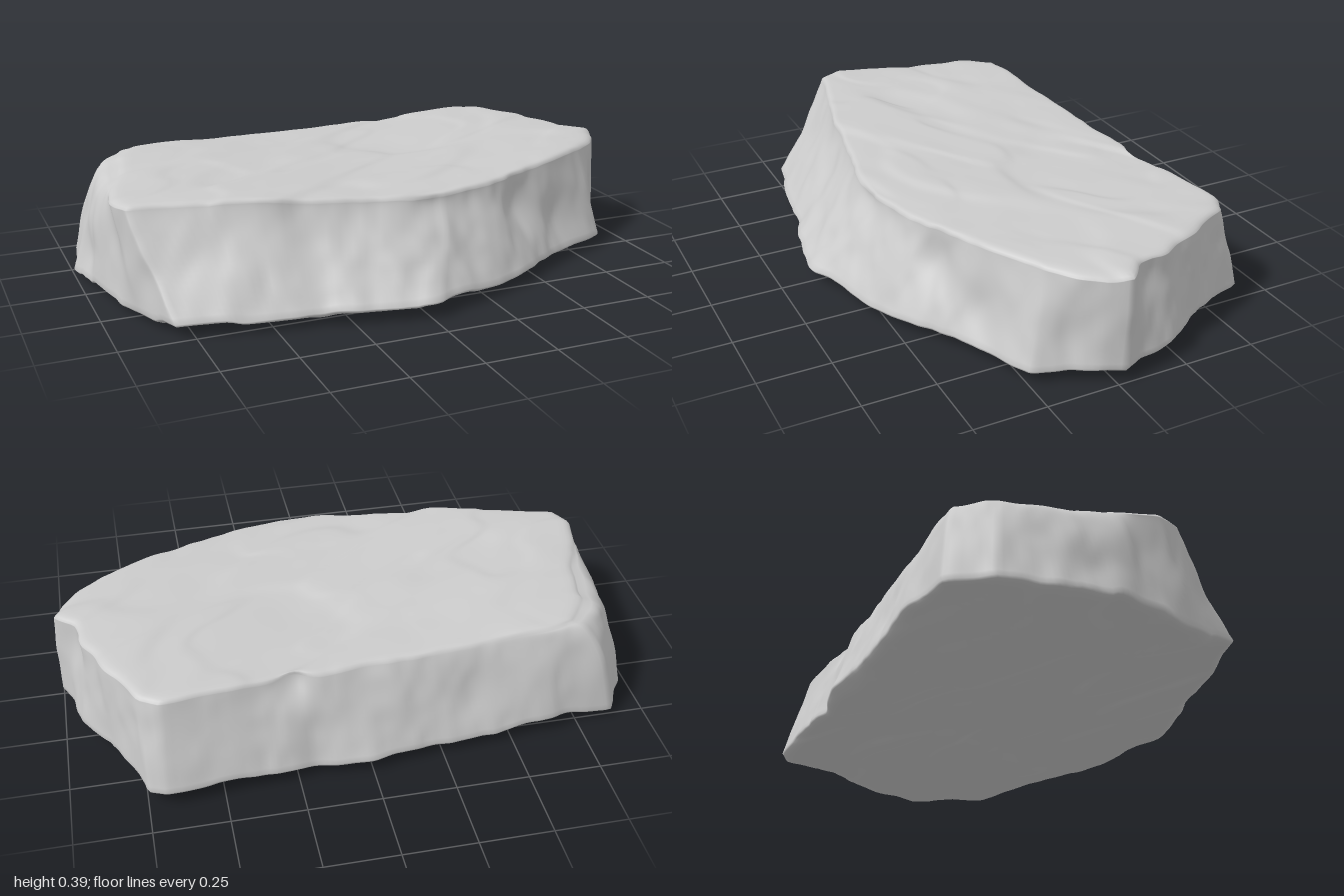
import * as THREE from 'three';

// Outline corners, clockwise from above: [foot x, foot z, top x, top z, wall curve]
// Wall curve: below 1 bulges at the shoulder, above 1 sweeps out at the foot
const OUTLINE = [
  [-0.97, -0.38, -0.81, -0.31, 0.38], [-0.88, -0.52, -0.73, -0.43, 0.45], [-0.6, -0.555, -0.56, -0.465, 0.8],
  [-0.1, -0.61, -0.1, -0.5, 1], [0.2, -0.61, 0.2, -0.52, 1], [0.68, -0.645, 0.67, -0.56, 1],
  [0.74, -0.62, 0.74, -0.53, 1], [0.82, -0.44, 0.82, -0.39, 1], [0.92, -0.23, 0.9, -0.22, 1],
  [0.955, -0.1, 0.93, -0.1, 1], [1.0, -0.03, 0.98, -0.04, 1], [0.97, 0.05, 0.95, 0.03, 1],
  [0.92, 0.12, 0.9, 0.1, 1], [0.87, 0.24, 0.83, 0.17, 1.1],
  [0.6, 0.38, 0.61, 0.28, 1.1], [0.3, 0.53, 0.35, 0.39, 1.3], [0.03, 0.64, 0.13, 0.46, 1.6],
  [-0.03, 0.643, 0.08, 0.457, 1.6], [-0.2, 0.61, -0.1, 0.43, 1.4], [-0.5, 0.54, -0.5, 0.36, 1.2],
  [-0.82, 0.475, -0.91, 0.25, 1.1], [-0.89, 0.3, -0.94, 0.17, 1], [-0.96, 0.08, -0.9, 0.01, 0.4],
  [-1.0, -0.1, -0.83, -0.16, 0.32],
];
// Chips in the walls: [x, y, z, radius, depth]
const CHIPS = [
  [0.47, 0.25, 0.36, 0.08, 0.03], [0.68, 0.15, 0.3, 0.09, 0.03], [0.1, 0.34, 0.46, 0.07, 0.02],
  [0.25, 0.36, -0.54, 0.07, 0.035], [0.9, 0.3, -0.15, 0.08, 0.02], [-0.4, 0.2, -0.56, 0.09, 0.02],
  [-0.95, 0.12, -0.1, 0.08, 0.025], [0.91, 0.15, 0.12, 0.08, 0.015],
];
const SEGMENTS = 300, TOP = 0.38, FOOT = 0.05;
const mix = THREE.MathUtils.lerp;

function hash(x, y, z) {
  let h = Math.imul(x, 374761393) ^ Math.imul(y, 668265263) ^ Math.imul(z, 1274126177);
  h = Math.imul(h ^ (h >>> 13), 1103515245);
  return ((h ^ (h >>> 16)) >>> 0) / 2147483648 - 1;
}

// Smooth value noise in -1..1
function noise(x, y, z) {
  const i = Math.floor(x), j = Math.floor(y), k = Math.floor(z);
  const ease = (f) => f * f * (3 - 2 * f);
  const u = ease(x - i), v = ease(y - j), w = ease(z - k);
  const row = (b, c) => mix(hash(i, b, c), hash(i + 1, b, c), u);
  return mix(mix(row(j, k), row(j + 1, k), v), mix(row(j, k + 1), row(j + 1, k + 1), v), w);
}

// Evenly spaced points around the outline
function sampleOutline() {
  const n = OUTLINE.length, lengths = [0];
  OUTLINE.forEach((p, i) => {
    const q = OUTLINE[(i + 1) % n];
    lengths.push(lengths[i] + Math.hypot(q[0] - p[0], q[1] - p[1]));
  });
  const points = [];
  for (let j = 0, e = 0; j < SEGMENTS; j++) {
    const d = (j / SEGMENTS) * lengths[n];
    while (lengths[e + 1] <= d) e++;
    const f = (d - lengths[e]) / (lengths[e + 1] - lengths[e]);
    points.push(OUTLINE[e].map((v, c) => mix(v, OUTLINE[(e + 1) % n][c], f)));
  }
  return points;
}

// Rings from top centre, over the rim, down the wall to the underside centre:
// [blend from top to foot outline, scale, height]
function makeRings() {
  const rings = [];
  for (let i = 0; i <= 40; i++) {
    const s = 0.002 + 0.963 * (i / 40);
    rings.push([0, s, TOP - 0.005 * s ** 6]);
  }
  rings.push([0, 0.98, TOP - 0.007], [0, 0.992, TOP - 0.011]);
  for (let i = 0; i <= 26; i++) {
    const t = (i / 26) ** 1.5;
    rings.push([t, 1, mix(TOP - 0.018, FOOT + 0.008, t)]);
  }
  rings.push([1, 0.994, FOOT], [1, 0.98, FOOT - 0.005]);
  for (let i = 40; i >= 0; i--) {
    const s = 0.002 + 0.96 * (i / 40);
    rings.push([1, s, FOOT - 0.008 - 0.016 * (1 - s ** 4)]);
  }
  return rings;
}

// Rock relief: layered ledges on the faces, undulation and chips on the walls
function weather(x, y, z, t, s) {
  const along = x * 0.85 - z * 0.5, across = x * 0.5 + z * 0.85;
  const ledges = (layer) => Math.tanh(noise(along * 2.2 + 7, layer, across * 5) * 9) * 0.005
    + Math.tanh(noise(along * 4 + 31, layer, across * 9) * 9) * 0.0025;
  const topLift = ledges(0) + 0.003 * noise(x * 2.5, 3, z * 2.5) + 0.002 * noise(along * 8, 5, across * 14)
    - 0.009 * Math.cos(x * 4.5);
  const footLift = 1.4 * ledges(9) + 0.007 * noise(x * 3, 11, z * 4) + 0.004 * noise(along * 9, 13, across * 13)
    - 0.018 * THREE.MathUtils.smoothstep(-x, 0.55, 0.9);
  const edge = s ** 10;
  let push = 0.014 * noise(x * 5, y * 3, z * 5) + 0.01 * noise(x * 11, y * 5 + 20, z * 11)
    + 0.004 * noise(x * 25, y * 12 + 40, z * 25);
  for (const [cx, cy, cz, r, depth] of CHIPS) {
    const d2 = (x - cx) ** 2 + (y - cy) ** 2 + (z - cz) ** 2;
    push -= depth * Math.exp(-d2 / (r * r));
  }
  const len = Math.hypot(x, z);
  return [x + (x / len) * push * edge, y + mix(topLift, footLift, t), z + (z / len) * push * edge];
}

function rockGeometry() {
  const outline = sampleOutline(), rings = makeRings();
  const positions = [], index = [];
  for (const [t, s, y] of rings) {
    for (const [footX, footZ, topX, topZ, curve] of outline) {
      const flare = t ** curve;
      positions.push(...weather(mix(topX, footX, flare) * s, y, mix(topZ, footZ, flare) * s, t, s));
    }
  }
  for (let r = 0; r < rings.length - 1; r++) {
    for (let j = 0; j < SEGMENTS; j++) {
      const a = r * SEGMENTS + j, b = r * SEGMENTS + ((j + 1) % SEGMENTS);
      const c = a + SEGMENTS, d = b + SEGMENTS;
      index.push(a, b, c, b, d, c);
    }
  }
  // close the tiny centre holes
  const last = (rings.length - 1) * SEGMENTS;
  for (let j = 1; j < SEGMENTS - 1; j++) {
    index.push(0, j + 1, j, last, last + j, last + j + 1);
  }
  const geometry = new THREE.BufferGeometry();
  geometry.setAttribute('position', new THREE.Float32BufferAttribute(positions, 3));
  geometry.setIndex(index);

  // centre it and settle it on the ground
  geometry.center();
  geometry.computeBoundingBox();
  geometry.translate(0, -geometry.boundingBox.min.y, 0);
  geometry.computeVertexNormals();
  return geometry;
}

export function createModel() {
  const group = new THREE.Group();
  group.name = 'rockSlab';
  const slab = new THREE.Mesh(rockGeometry(), new THREE.MeshStandardMaterial({ color: 0xcccccc }));
  slab.name = 'stone';
  group.add(slab);
  return group;
}
